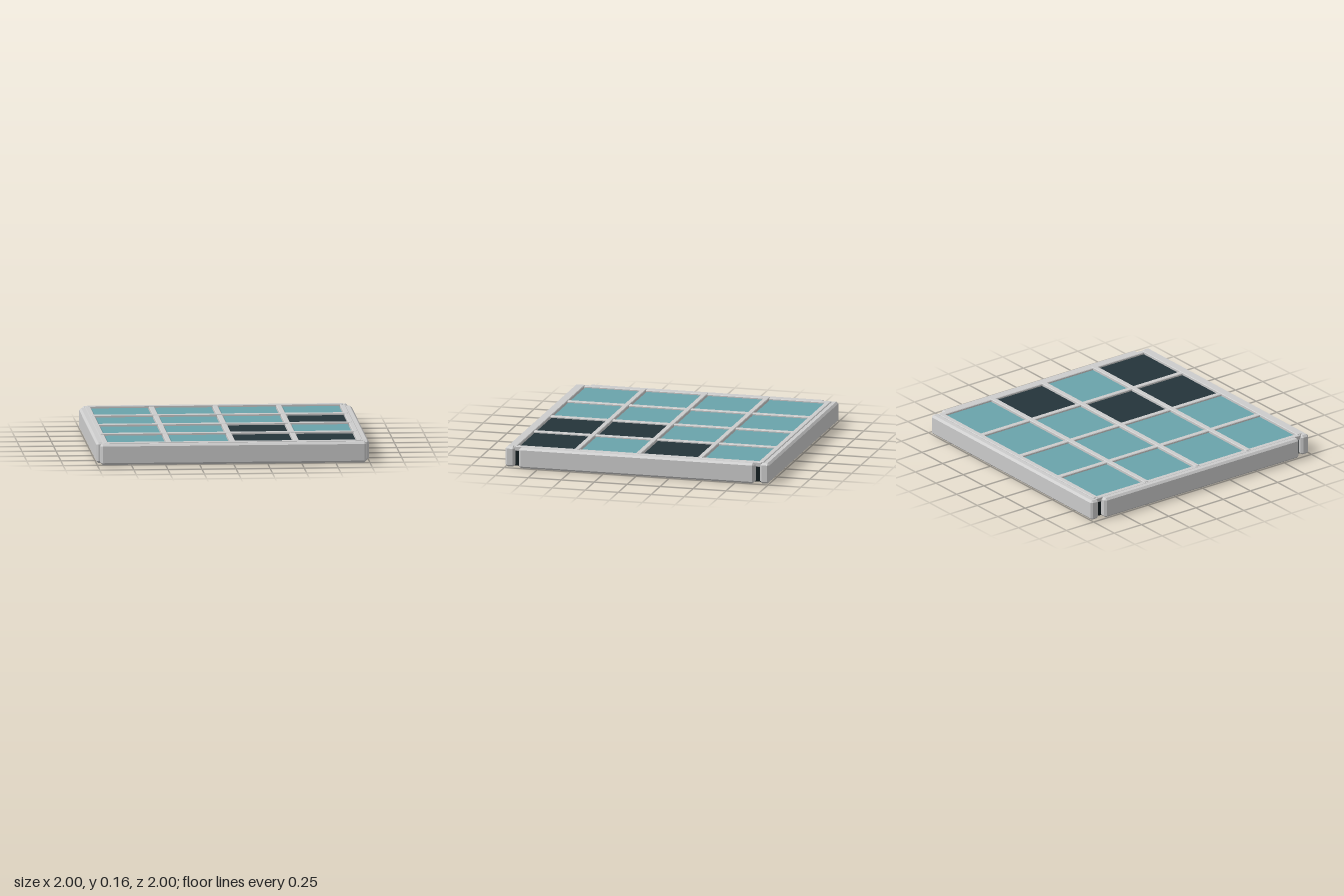
import * as THREE from 'three';
import { ConvexGeometry } from 'three/addons/geometries/ConvexGeometry.js';

// Box with every edge cut by a flat chamfer c
function chamferBox(w, h, d, c) {
  const points = [];
  for (const sx of [-1, 1]) for (const sy of [-1, 1]) for (const sz of [-1, 1]) {
    const x = w / 2, y = h / 2, z = d / 2;
    points.push(
      new THREE.Vector3(sx * x, sy * (y - c), sz * (z - c)),
      new THREE.Vector3(sx * (x - c), sy * y, sz * (z - c)),
      new THREE.Vector3(sx * (x - c), sy * (y - c), sz * z));
  }
  return new ConvexGeometry(points);
}

export function createModel() {
  const model = new THREE.Group();
  model.name = 'gridPanel';

  const material = (color) => new THREE.MeshStandardMaterial({ color, flatShading: true });
  const grey = material(0xcccccc);
  const teal = material(0x6aa3ab);
  const dark = material(0x24343a);
  const black = material(0x141e22);

  // Places a part between two heights
  function add(name, geometry, mat, x, y0, y1, z) {
    const mesh = new THREE.Mesh(geometry, mat);
    mesh.name = name;
    mesh.position.set(x, (y0 + y1) / 2, z);
    model.add(mesh);
  }

  // Backing tray
  add('basePlate', new THREE.BoxGeometry(1.88, 0.12, 1.88), black, 0, 0.005, 0.125, 0);

  // Outer rails: long ones front and back, shorter ones at the sides
  const longRail = chamferBox(1.95, 0.153, 0.07, 0.015);
  const sideRail = chamferBox(0.07, 0.153, 1.785, 0.015);
  for (const s of [-1, 1]) {
    add(s > 0 ? 'frontRail' : 'backRail', longRail, grey, 0, 0, 0.153, s * 0.965);
    add(s > 0 ? 'leftRail' : 'rightRail', sideRail, grey, s * 0.965, 0, 0.153, 0);
  }

  // Lattice bars, the crosswise ones standing slightly proud
  const pitch = 0.4675;
  const crossBar = chamferBox(1.88, 0.04, 0.04, 0.004);
  const lengthBar = chamferBox(0.04, 0.035, 1.88, 0.004);
  for (let i = -2; i <= 2; i++) {
    add('crossBar', crossBar, grey, 0, 0.12, 0.16, i * pitch);
    add('lengthBar', lengthBar, grey, i * pitch, 0.12, 0.155, 0);
  }

  // Tiles, row by row from the back; 1 marks a dark tile
  const darkTiles = ['0000', '0001', '0010', '0011'];
  const tile = new THREE.BoxGeometry(0.412, 0.025, 0.412);
  darkTiles.forEach((row, r) => [...row].forEach((mark, c) => {
    const isDark = mark === '1';
    add(isDark ? 'darkTile' : 'tealTile', tile, isDark ? dark : teal,
      (c - 1.5) * pitch, 0.12, 0.145, (r - 1.5) * pitch);
  }));

  return model;
}
